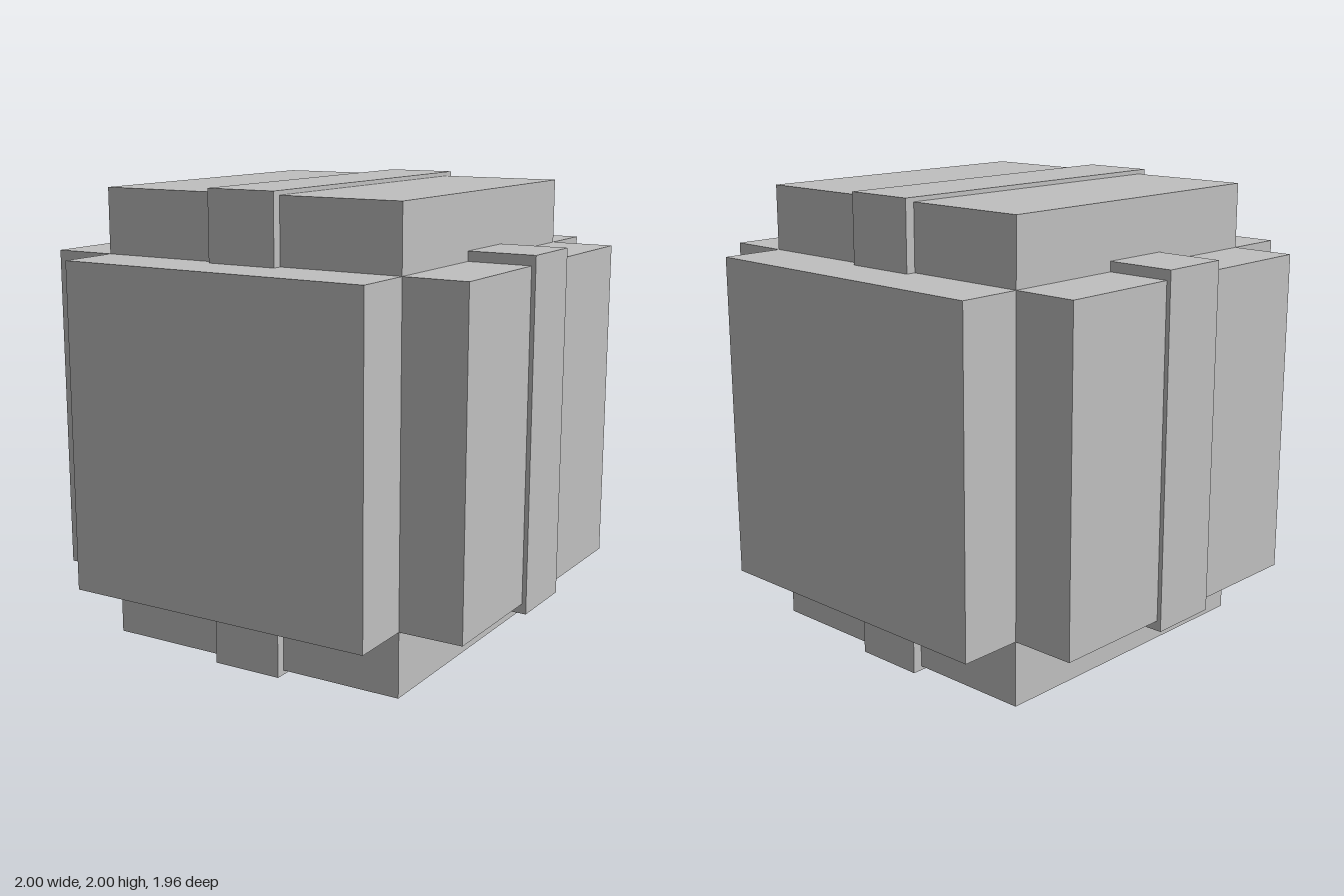
import * as THREE from 'three';

export function createModel() {
  const model = new THREE.Group();
  const grey = new THREE.MeshStandardMaterial({ color: 0xc0c0c0 });
  grey.name = 'light grey';

  // every part is a box centred on the middle of the cube
  const addBlock = (name, width, height, depth) => {
    const mesh = new THREE.Mesh(new THREE.BoxGeometry(width, height, depth), grey);
    mesh.name = name;
    mesh.position.y = 1;
    model.add(mesh);
  };

  const core = 1.405; // width of each square pad
  const span = 1.963; // distance between opposite pads

  // three crossing blocks give the six raised pads
  addBlock('leftRightBlock', span, core, core);
  addBlock('topBottomBlock', core, span, core);
  addBlock('frontBackBlock', core, core, span);

  // raised bands down the middle of the top, bottom and side pads
  addBlock('topBottomBand', 0.314, 2, 1.49);
  addBlock('leftRightBand', 2, 1.49, 0.314);

  return model;
}
